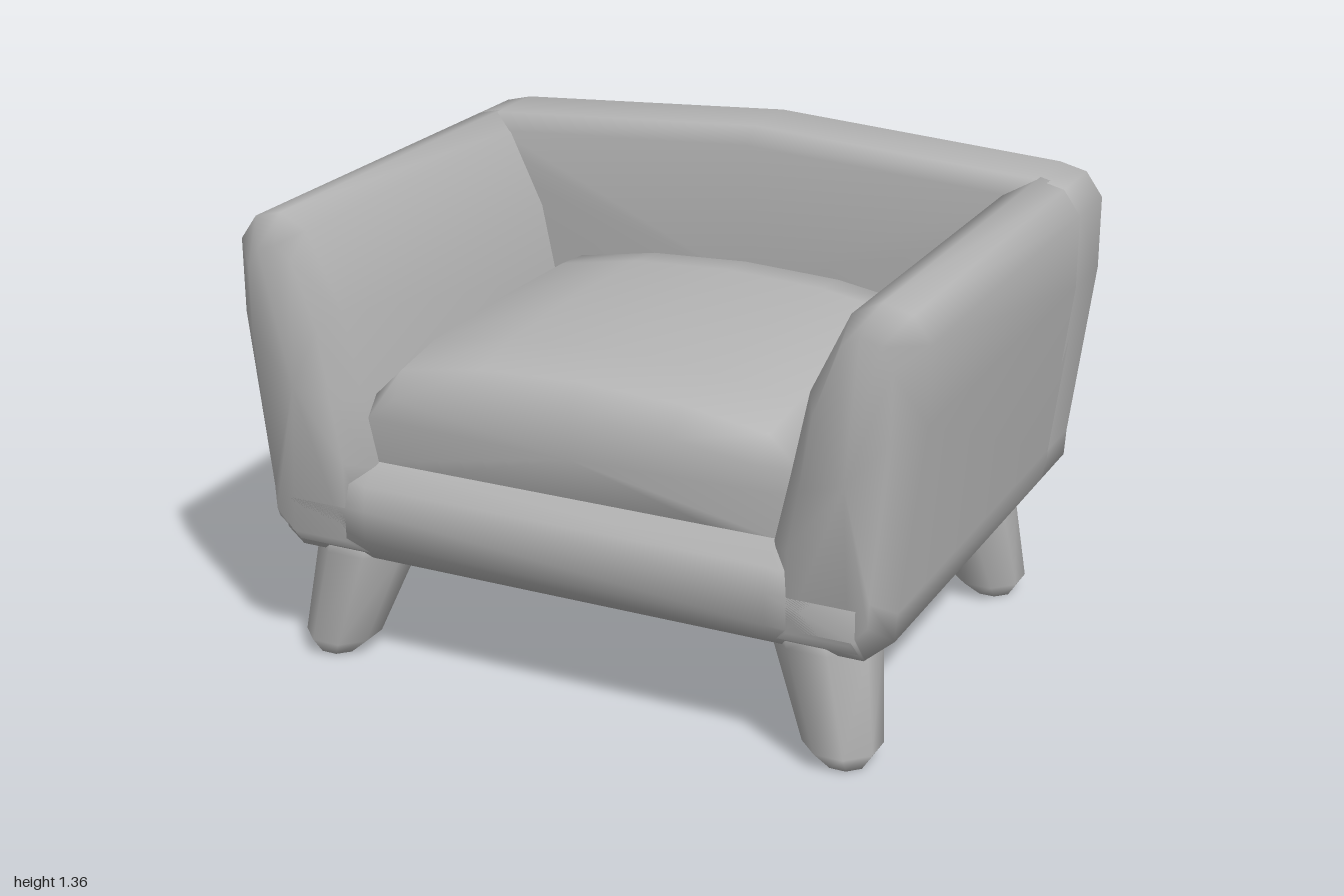
import * as THREE from 'three';

// Smooth closed skin through equal-length rings, capped at both ends.
function loft(rings) {
  const n = rings[0].length, pos = [], idx = [];
  rings.forEach(r => r.forEach(p => pos.push(...p)));
  for (let k = 0; k < rings.length - 1; k++) {
    for (let i = 0; i < n; i++) {
      const a = k * n + i, b = k * n + (i + 1) % n;
      idx.push(a, b, b + n, a, b + n, a + n);
    }
  }
  const cap = (k, flip) => {
    const c = pos.length / 3, r = rings[k];
    pos.push(...[0, 1, 2].map(j => r.reduce((s, p) => s + p[j], 0) / n));
    for (let i = 0; i < n; i++) {
      const a = k * n + i, b = k * n + (i + 1) % n;
      idx.push(c, flip ? b : a, flip ? a : b);
    }
  };
  cap(0, true);
  cap(rings.length - 1, false);
  const g = new THREE.BufferGeometry();
  g.setAttribute('position', new THREE.Float32BufferAttribute(pos, 3));
  g.setIndex(idx);
  g.computeVertexNormals();
  return g;
}

// Shrink a 2D profile by a fixed margin on each side of its bounding box.
function inset(profile, d) {
  const box = new THREE.Box2().setFromPoints(profile.map(p => new THREE.Vector2(...p)));
  const c = box.getCenter(new THREE.Vector2()), s = box.getSize(new THREE.Vector2());
  return profile.map(([x, y]) => [
    c.x + (x - c.x) * (1 - 2 * d / s.x),
    c.y + (y - c.y) * (1 - 2 * d / s.y)]);
}

const atZ = (profile, z) => profile.map(([x, y]) => [x, y, z]);
const atX = (profile, x) => profile.map(([y, z]) => [x, y, z]);
const mirror = profile => profile.map(([x, y]) => [-x, y]).reverse();

export function createModel() {
  const group = new THREE.Group();
  group.name = 'armchair';
  const grey = new THREE.MeshStandardMaterial({ color: 0xb4b4b4 });
  grey.name = 'grey';
  const add = (name, geometry) => {
    const mesh = new THREE.Mesh(geometry, grey);
    mesh.name = name;
    group.add(mesh);
  };

  // Outer side contour shared by the back and the arms, from the bottom up
  const outer = [[0.85, 0.33], [0.93, 0.4], [0.935, 0.48], [1, 1], [1, 1.21], [0.95, 1.28], [0.87, 1.3]];

  // Backrest with a gently peaked top
  const back = [...outer, [0, 1.355], ...mirror(outer)];
  add('backrest', loft([
    atZ(inset(back, 0.07), -0.77), atZ(back, -0.7),
    atZ(back, -0.49), atZ(inset(back, 0.045), -0.43)]));

  // Flared arms with bevelled front ends
  const arm = [...outer, [0.79, 1.26], [0.685, 1.04], [0.635, 0.8], [0.59, 0.6], [0.59, 0.33]];
  for (const [name, p] of [['leftArm', arm], ['rightArm', mirror(arm)]]) {
    add(name, loft([
      atZ(p, -0.52), atZ(p, 0.695), atZ(inset(p, 0.07), 0.77)]));
  }

  // Seat base with a rounded front rail
  const base = [[0.33, -0.6], [0.62, -0.6], [0.62, 0.69], [0.57, 0.76], [0.5, 0.77], [0.41, 0.77], [0.33, 0.7]];
  add('seatBase', loft([-0.85, -0.6, 0.6, 0.85].map(x => atX(base, x))));

  // Domed cushion, lower and rounder toward the front
  const half = [[0.6, 0.57], [0.61, 0.64], [0.635, 0.82], [0.55, 0.915], [0.3, 0.96]];
  const cushion = [...half, [0, 0.975], ...mirror(half)];
  const cushionRing = (z, top, width) =>
    atZ(cushion.map(([x, y]) => [x * width, 0.57 + (y - 0.57) * top]), z);
  add('cushion', loft([
    cushionRing(-0.5, 0.93, 1), cushionRing(-0.3, 0.98, 1), cushionRing(0.1, 1, 1),
    cushionRing(0.45, 0.97, 1), cushionRing(0.63, 0.89, 0.995), cushionRing(0.69, 0.7, 0.98)]));

  // Splayed, tapered eight-sided legs: [height, radius]
  const legSteps = [[0, 0.06], [0.05, 0.108], [0.33, 0.148], [0.38, 0.15]];
  const leg = (side, zFoot, zTop) => loft(legSteps.map(([y, r]) => {
    const t = y / 0.33;
    const cx = side * (0.785 - 0.085 * t), cz = zFoot + (zTop - zFoot) * t;
    return Array.from({ length: 8 }, (_, i) => {
      const a = (i + 0.5) * Math.PI / 4;
      return [cx + r * Math.sin(a), y, cz + r * Math.cos(a)];
    });
  }));
  for (const [side, label] of [[1, 'Left'], [-1, 'Right']]) {
    add('front' + label + 'Leg', leg(side, 0.645, 0.585));
    add('back' + label + 'Leg', leg(side, -0.53, -0.475));
  }
  return group;
}
